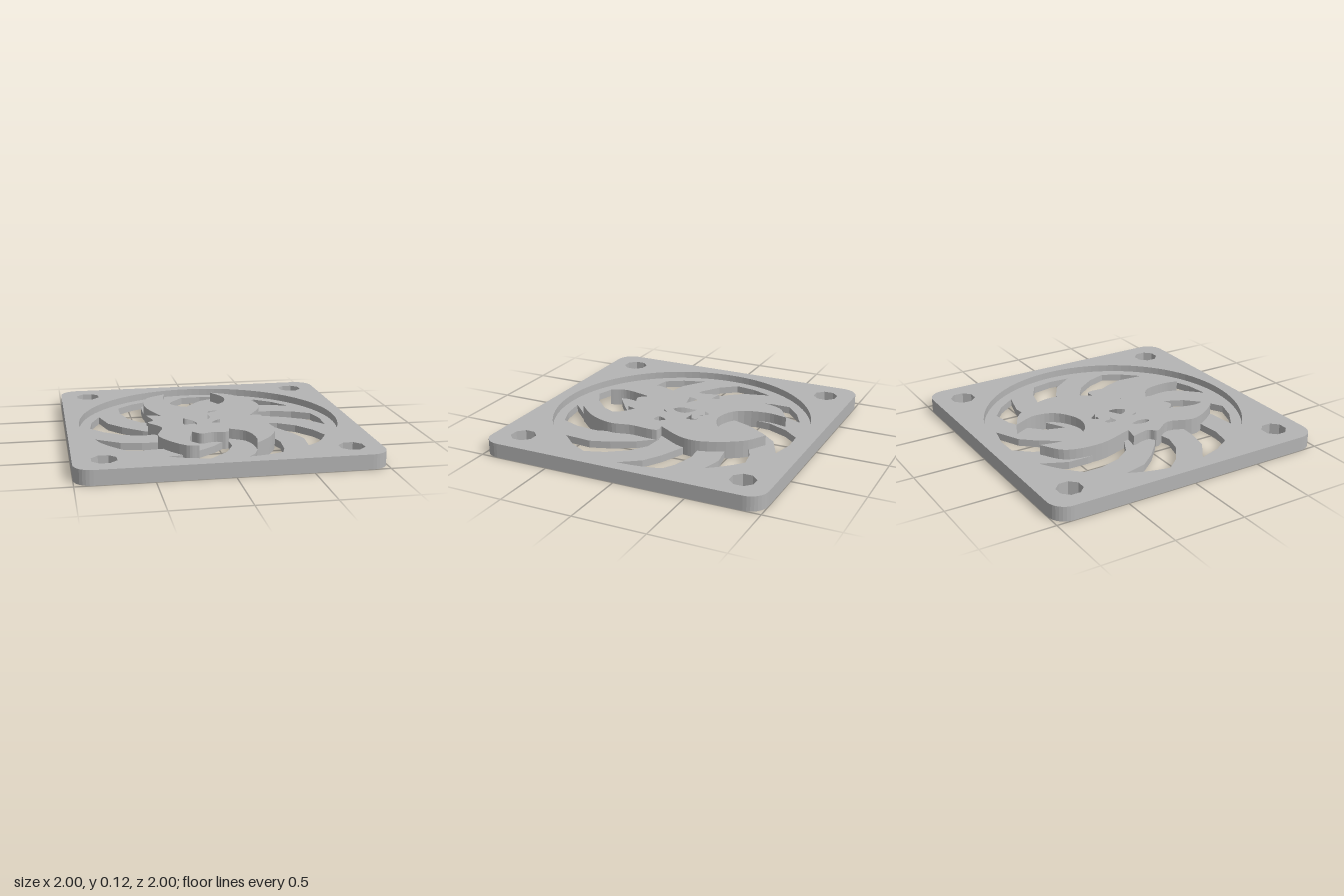
import * as THREE from 'three';

const FLOOR = 0.05, RIM = 0.1, TOP = 0.12, RECESS = 0.91;
const DEG = Math.PI / 180;

const polar = (r, deg) => new THREE.Vector2(r * Math.cos(deg * DEG), r * Math.sin(deg * DEG));

// smooth plan curve through [x, z] points (plan y is -z); the last point is left to the next curve
function smooth(points, closed = false) {
  const curve = new THREE.CatmullRomCurve3(points.map(([x, z]) => new THREE.Vector3(x, -z, 0)), closed);
  const n = points.length * 4;
  return curve.getPoints(n).slice(0, n).map(p => new THREE.Vector2(p.x, p.y));
}

// regular polygon outline
function ring(cx, cy, r, n) {
  const centre = new THREE.Vector2(cx, cy);
  return Array.from({ length: n }, (_, i) => polar(r, (i + 0.5) * 360 / n).add(centre));
}

// rounded square outline
function roundedSquare(half, r) {
  const out = [];
  for (let c = 0; c < 4; c++) {
    const centre = polar((half - r) * Math.SQRT2, 45 + c * 90);
    for (let i = 0; i <= 8; i++) out.push(polar(r, c * 90 + i * 11.25).add(centre));
  }
  return out;
}

// one swirling slot: a broad outer end, swept in to a point near the hub
function slot(turn) {
  const edge = [[0.835, 0], [0.84, 11], [0.835, 21], [0.74, 29], [0.62, 38], [0.5, 45],
    [0.36, 47], [0.475, 32], [0.61, 19.5], [0.72, 11.5]];
  return edge.map(([r, a]) => polar(r, a + turn));
}

// horizontal slab between two heights, cut by holes
function slab(name, outline, holes, y0, y1, material) {
  const shape = new THREE.Shape(outline);
  shape.holes = holes.map(h => new THREE.Path(h));
  const geo = new THREE.ExtrudeGeometry(shape, { depth: y1 - y0, bevelEnabled: false });
  geo.rotateX(-Math.PI / 2).translate(0, y0, 0);
  const mesh = new THREE.Mesh(geo, material);
  mesh.name = name;
  return mesh;
}

// skull outline as smooth runs that meet at sharp corners
function skullOutline() {
  const hornTip = [-0.22, -0.7], hornTip2 = [0.14, -0.69], cheek = [0.3, 0.01], fang = [0.2, 0.69];
  const gum = [0.085, 0.33], gum2 = [-0.175, 0.36], fang2 = [-0.18, 0.68], ear = [-0.43, -0.1], ear2 = [-0.33, -0.08];
  return [
    [hornTip, [-0.245, -0.55], [-0.18, -0.34], [-0.01, -0.275], [0.17, -0.37], [0.21, -0.52], hornTip2],
    [hornTip2, [0.29, -0.59], [0.42, -0.33], [0.41, -0.19], cheek],
    [cheek, [0.37, 0.01], [0.37, 0.21], [0.395, 0.36], [0.33, 0.54], fang],
    [fang, [0.22, 0.59], [0.19, 0.41], gum],
    [gum, [0.06, 0.4], [-0.03, 0.39], [-0.12, 0.415], gum2],
    [gum2, [-0.22, 0.57], fang2],
    [fang2, [-0.25, 0.67], [-0.41, 0.42], [-0.36, 0.22], [-0.44, 0.08], [-0.4, 0.04], ear],
    [ear, ear2],
    [ear2, [-0.41, -0.35], [-0.37, -0.59], hornTip],
  ].flatMap(run => smooth(run));
}

export function createModel() {
  const grey = new THREE.MeshStandardMaterial({ color: 0xb4b4b4 });
  grey.name = 'grey';
  const group = new THREE.Group();
  group.name = 'fanGrill';

  const outline = roundedSquare(1, 0.12);
  const screws = [-0.8, 0.8].flatMap(x => [-0.8, 0.8].map(y => ring(x, y, 0.087, 8)));
  const slots = Array.from({ length: 9 }, (_, i) => slot(33.5 + i * 40));

  // cross-shaped nose and two eye sockets
  const nose = [[-0.04, -0.2], [0.015, -0.14], [0.08, -0.155], [0.1, -0.08], [0.01, -0.08], [0.01, 0.02],
    [-0.03, 0.08], [-0.08, 0.03], [-0.08, -0.075], [-0.16, -0.07], [-0.15, -0.14], [-0.085, -0.14]];
  const leftEye = [[-0.01, 0.19], [0.04, 0.1], [0.18, 0.04], [0.215, 0.1], [0.09, 0.19]];
  const rightEye = [[-0.29, 0.08], [-0.26, 0], [-0.18, 0.02], [-0.11, 0.13], [-0.13, 0.21], [-0.25, 0.16]];
  const face = [nose, leftEye, rightEye].map(p => smooth(p, true));

  // pierced plate, raised surround with a round recess, and the skull over the slots
  group.add(slab('bladePlate', outline, [...screws, ...slots, ...face], 0, FLOOR, grey));
  group.add(slab('raisedFrame', outline, [...screws, ring(0, 0, RECESS, 96)], FLOOR, RIM, grey));
  group.add(slab('hornedSkull', skullOutline(), face, 0, TOP, grey));
  return group;
}
